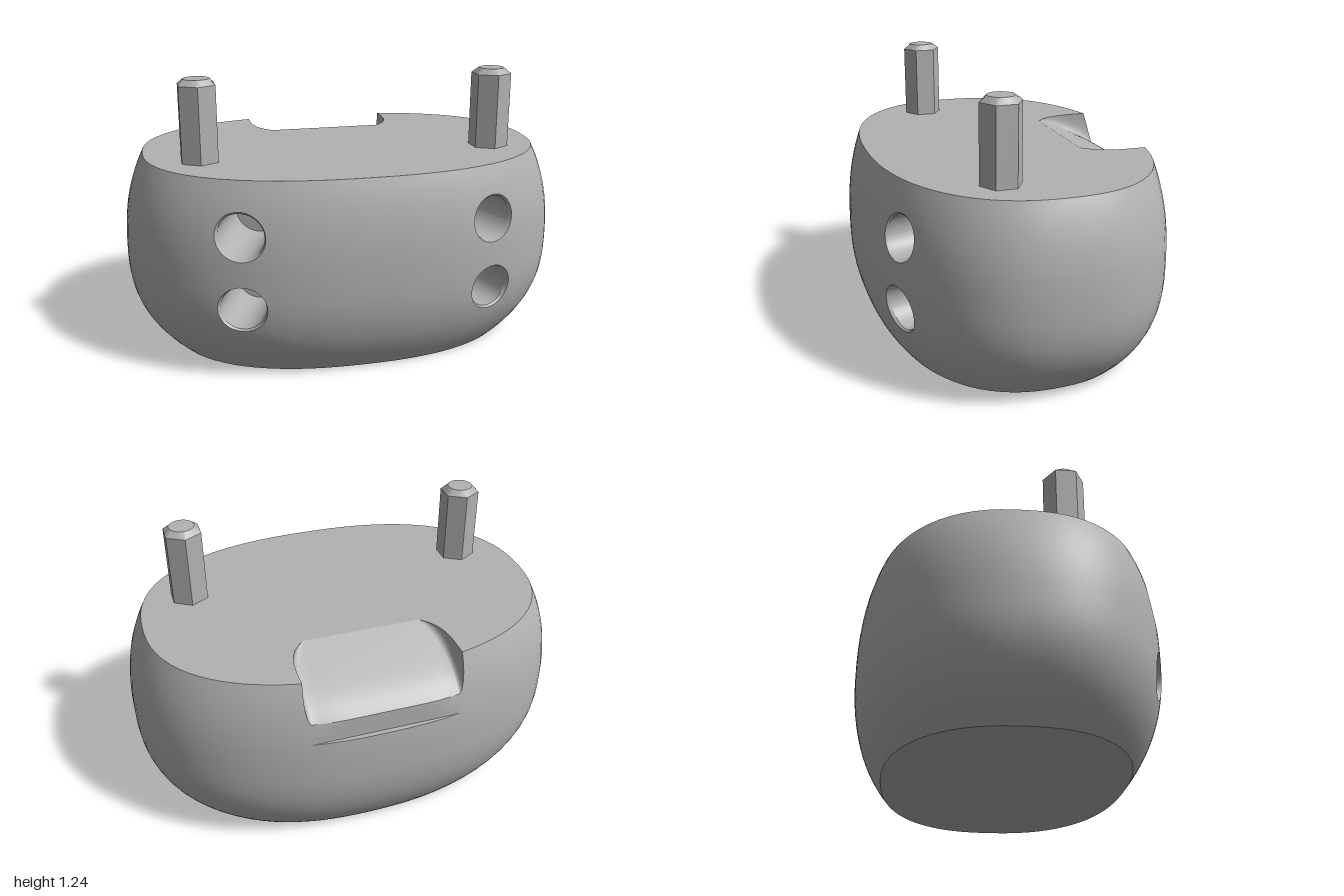
import * as THREE from 'three';
import { toCreasedNormals } from 'three/addons/utils/BufferGeometryUtils.js';

const N = 2.35, DEPTH = 0.685, TOP = 0.88, LEDGE = 0.6, BACK = -0.66;
const V = (x, y, z) => new THREE.Vector3(x, y, z);
const lin = (a, b, n) => Array.from({ length: n }, (_, i) => a + (b - a) * i / n);
const spow = (v) => Math.sign(v) * Math.abs(v) ** (2 / N);

// Body width factor at height y: strong rounding below, softer above
const girth = (y) => y < 0.45
  ? 1 - 0.2 * ((0.45 - y) / 0.45) ** 2.6
  : 1 - 0.093 * ((y - 0.45) / 0.43) ** 2.4;

// Superellipse body surface, trimmed to a flat back above the ledge
function surface(t, y) {
  const g = girth(y);
  const z = g * DEPTH * spow(Math.cos(t));
  return V(g * spow(Math.sin(t)), y, y > LEDGE ? Math.max(z, BACK) : z);
}
const angleAt = (x, y) => Math.asin(Math.sign(x) * (Math.abs(x) / girth(y)) ** (N / 2));

// Smooth shading with sharp creases from a triangle list
function creased(tris, angle) {
  const geo = new THREE.BufferGeometry().setFromPoints(tris);
  geo.scale(100, 100, 100);
  const out = toCreasedNormals(geo, angle);
  out.scale(0.01, 0.01, 0.01);
  return out;
}
const quad = (out, a, b, c, d) => out.push(a, b, c, a, c, d);

// Flat cap from outline points, facing up or down
function cap(points, y, up) {
  const shape = new THREE.Shape(points.map((p) => new THREE.Vector2(p.x, up ? -p.z : p.z)));
  return new THREE.ShapeGeometry(shape).rotateX(up ? -Math.PI / 2 : Math.PI / 2).translate(0, y, 0);
}

export function createModel() {
  const group = new THREE.Group();
  const grey = new THREE.MeshStandardMaterial({ color: 0xb2b2b2 });
  grey.name = 'grey';
  const add = (name, geo, parent = group) => {
    const mesh = new THREE.Mesh(geo, grey);
    mesh.name = name;
    parent.add(mesh);
    return mesh;
  };

  // Columns around the body, with finer ones at the holes and the notch
  const H0 = 0.3, H1 = 0.73, TAU = Math.PI * 2;
  const half = [1, 0.99, 0.98, 0.965, 0.95, 0.93, 0.91, 0.89, 0.87, 0.75, 0.6, 0.45, 0.3, 0.15];
  const cs = [...half, 0, ...half.map((c) => -c).reverse()];
  const notchT = cs.map((c) => Math.PI - angleAt(0.35 * c, TOP));
  const nFirst = 10 + 9 + 26, nLast = nFirst + cs.length - 1;
  const ts = [
    ...lin(-H0, H0, 10), ...lin(H0, H1, 9), ...lin(H1, notchT[0], 26), ...notchT.slice(0, -1),
    ...lin(notchT[cs.length - 1], TAU - H1, 26), ...lin(TAU - H1, TAU - H0, 9), TAU - H0,
  ];
  const ys = [
    ...lin(0, 0.18, 8), ...lin(0.18, 0.4975, 8), ...lin(0.4975, LEDGE, 3), LEDGE,
    ...lin(0.602, 0.815, 6), 0.815, 0.85, TOP,
  ];
  const rowIndex = (y) => ys.findIndex((v) => Math.abs(v - y) < 1e-6);
  const rowSpans = [[rowIndex(0.18), rowIndex(0.4975)], [rowIndex(0.4975), rowIndex(0.815)]];
  const colSpans = [[10, 19], [ts.length - 10, ts.length - 1]];

  // Notch: height of the rim across its width, with filleted side walls
  const wall = (c) => Math.max(0, (Math.abs(c) - 0.87) / 0.13) ** 2;
  const rimY = (i) => (i >= nFirst && i <= nLast ? 0.7 + (TOP - 0.7) * wall(cs[i - nFirst]) : TOP);
  const at = (i, j) => {
    const y = ys[j];
    return surface(ts[i], y <= 0.602 ? y : 0.602 + (y - 0.602) * (rimY(i) - 0.602) / (TOP - 0.602));
  };

  // Side wall, leaving out the cells around the holes
  const side = [];
  const inSpan = (k, spans) => spans.some(([a, b]) => k >= a && k < b);
  for (let i = 0; i < ts.length - 1; i++) {
    for (let j = 0; j < ys.length - 1; j++) {
      if (inSpan(i, colSpans) && inSpan(j, rowSpans)) continue;
      quad(side, at(i, j), at(i + 1, j), at(i + 1, j + 1), at(i, j + 1));
    }
  }

  // Holes: surface rings narrowing to a circle, then bevel, bore and floor
  const bores = [];
  for (const [c0, c1] of colSpans) {
    for (const [k, [r0, r1]] of rowSpans.entries()) {
      const sign = c0 === 10 ? 1 : -1;
      const cx = 0.545 * sign, cy = k ? 0.655 : 0.34;
      const toT = (x, y) => angleAt(x, y) + (sign < 0 ? TAU : 0);
      const centre = surface(toT(cx, cy), cy);
      const inward = V(-sign * Math.sin(0.35), 0, -Math.cos(0.35));
      const border = [];
      for (let i = c0; i < c1; i++) border.push([ts[i], ys[r0]]);
      for (let j = r0; j < r1; j++) border.push([ts[c1], ys[j]]);
      for (let i = c1; i > c0; i--) border.push([ts[i], ys[r1]]);
      for (let j = r1; j > r0; j--) border.push([ts[c0], ys[j]]);
      const columns = border.map(([t, y]) => {
        const p = surface(t, y);
        const a = Math.atan2(p.y - cy, p.x - cx);
        const hy = cy + 0.103 * Math.sin(a), ht = toT(cx + 0.1 * Math.cos(a), hy);
        const skin = [0, 0.25, 0.5, 0.75, 1].map((s) => surface(t + (ht - t) * s, y + (hy - y) * s));
        const q = skin[4].clone().sub(centre);
        q.addScaledVector(inward, -q.dot(inward));
        const bore = [0.025, 0.35].map((d) =>
          centre.clone().addScaledVector(q, 0.92).addScaledVector(inward, d));
        return { skin, bore: [skin[4], ...bore] };
      });
      const floor = centre.clone().addScaledVector(inward, 0.35);
      columns.forEach((a, i) => {
        const b = columns[(i + 1) % columns.length];
        for (let s = 0; s < 4; s++) quad(side, a.skin[s], b.skin[s], b.skin[s + 1], a.skin[s + 1]);
        for (let s = 0; s < 2; s++) quad(bores, a.bore[s], b.bore[s], b.bore[s + 1], a.bore[s + 1]);
        bores.push(a.bore[2], b.bore[2], floor);
      });
    }
  }
  add('bodySide', creased(side, 0.6));
  add('holeBores', creased(bores, 0.5));

  // Notch ramp running from the top face down to the trimmed back
  const ROWS = 16, INNER = -0.31;
  const notchAt = (n, r) => {
    const end = at(nFirst + n, ys.length - 1), s = r / ROWS;
    const ramp = 0.82 * s + 0.18 * s ** 8;
    return V(end.x * (1 - 0.24 * (1 - s) ** 4), TOP - (TOP - end.y) * ramp, INNER + (end.z - INNER) * s);
  };
  const ramp = [];
  for (let n = 0; n < cs.length - 1; n++) {
    for (let r = 0; r < ROWS; r++) {
      quad(ramp, notchAt(n, r), notchAt(n, r + 1), notchAt(n + 1, r + 1), notchAt(n + 1, r));
    }
  }
  add('backNotch', creased(ramp, 0.8));

  // Top face outlined by the rim and the notch edge, and the flat base
  const outline = [];
  for (let i = 0; i < nFirst; i++) outline.push(at(i, ys.length - 1));
  for (let r = ROWS; r > 0; r--) outline.push(notchAt(0, r));
  for (let n = 0; n < cs.length; n++) outline.push(notchAt(n, 0));
  for (let r = 1; r <= ROWS; r++) outline.push(notchAt(cs.length - 1, r));
  for (let i = nLast + 1; i < ts.length - 1; i++) outline.push(at(i, ys.length - 1));
  add('topFace', cap(outline, TOP, true));
  add('baseFace', cap(ts.slice(0, -1).map((t) => surface(t, 0)), 0, false));

  // Hexagonal pins with a chamfer running from the hexagon to a round tip
  for (const sx of [1, -1]) {
    const pin = new THREE.Group();
    pin.name = sx > 0 ? 'leftPin' : 'rightPin';
    pin.position.set(0.665 * sx, 0, 0.2);
    const shaft = new THREE.CylinderGeometry(0.09, 0.09, 0.345, 6, 1, true).toNonIndexed();
    shaft.computeVertexNormals();
    add('pinShaft', shaft, pin).position.y = TOP + 0.1625;
    const tip = new THREE.CylinderGeometry(0.057, 0.09, 0.025, 36);
    const pos = tip.attributes.position;
    for (let i = 0; i < pos.count; i++) {
      const x = pos.getX(i), z = pos.getZ(i);
      if (pos.getY(i) > 0 || Math.hypot(x, z) < 0.01) continue;
      const a = Math.atan2(x, z) + TAU, step = Math.PI / 3;
      const r = 0.078 / Math.cos((a % step) - step / 2);
      pos.setX(i, r * Math.sin(a));
      pos.setZ(i, r * Math.cos(a));
    }
    add('pinTip', toCreasedNormals(tip.scale(100, 100, 100), 0.4).scale(0.01, 0.01, 0.01), pin)
      .position.y = 1.2275;
    group.add(pin);
  }
  return group;
}
